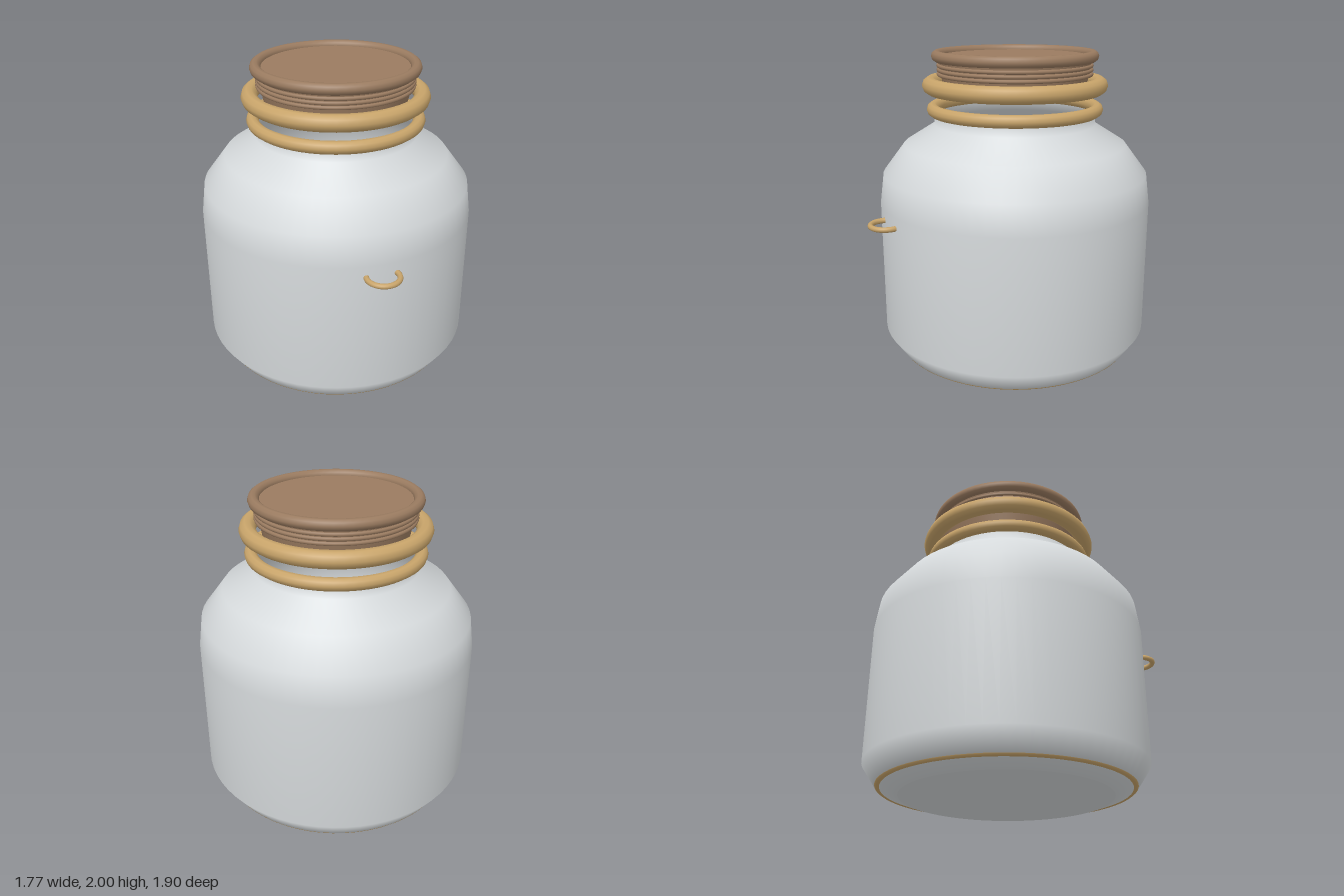
import * as THREE from 'three';

const glazeMat = new THREE.MeshStandardMaterial({ color: 0xd6dadc, side: THREE.DoubleSide });
glazeMat.name = 'pale grey';
const goldMat = new THREE.MeshStandardMaterial({ color: 0xc8a46a });
goldMat.name = 'gold';
const corkMat = new THREE.MeshStandardMaterial({ color: 0x9a7b60 });
corkMat.name = 'brown';

const SEGMENTS = 64;

function add(parent, name, geometry, material, y = 0) {
  const mesh = new THREE.Mesh(geometry, material);
  mesh.name = name;
  mesh.position.y = y;
  parent.add(mesh);
  return mesh;
}

// Horizontal ring centred on the jar's axis
function ring(parent, name, radius, tube, y, material, sides = 10) {
  const geometry = new THREE.TorusGeometry(radius, tube, sides, SEGMENTS).rotateX(Math.PI / 2);
  return add(parent, name, geometry, material, y);
}

export function createModel() {
  const model = new THREE.Group();
  model.name = 'jar';

  // Everything round shares an axis set back to make room for the front loop
  const body = new THREE.Group();
  body.name = 'jarBody';
  body.position.z = -0.068;
  model.add(body);

  // Open vessel
  const profile = [
    [0.66, 0], [0.8, 0.05], [0.885, 0.175], [0.885, 1.04],
    [0.86, 1.225], [0.72, 1.41], [0.52, 1.535], [0.52, 1.63],
  ].map(([r, y]) => new THREE.Vector2(r, y));
  add(body, 'vessel', new THREE.LatheGeometry(profile, SEGMENTS), glazeMat);
  add(body, 'vesselBottom', new THREE.CircleGeometry(0.66, SEGMENTS).rotateX(Math.PI / 2), glazeMat);

  // Trim rings
  ring(body, 'baseRing', 0.78, 0.022, 0.058, goldMat);
  ring(body, 'neckRing', 0.528, 0.04, 1.63, goldMat);

  // Lid floating above the neck
  const lid = new THREE.Group();
  lid.name = 'lid';
  body.add(lid);
  add(lid, 'stopper', new THREE.CylinderGeometry(0.497, 0.447, 0.243, SEGMENTS), corkMat, 1.8455);
  ring(lid, 'lidCollar', 0.541, 0.053, 1.783, goldMat);
  [1.853, 1.88, 1.907].forEach((y, i) => ring(lid, `lidThread${i + 1}`, 0.488, 0.012, y, corkMat, 8));
  ring(lid, 'lidRim', 0.497, 0.035, 1.965, corkMat);

  // Small loop on the front
  const loop = add(model, 'frontLoop',
    new THREE.TorusGeometry(0.098, 0.017, 10, 40).rotateX(Math.PI / 2), goldMat, 0.97);
  loop.position.z = 0.835;

  return model;
}
